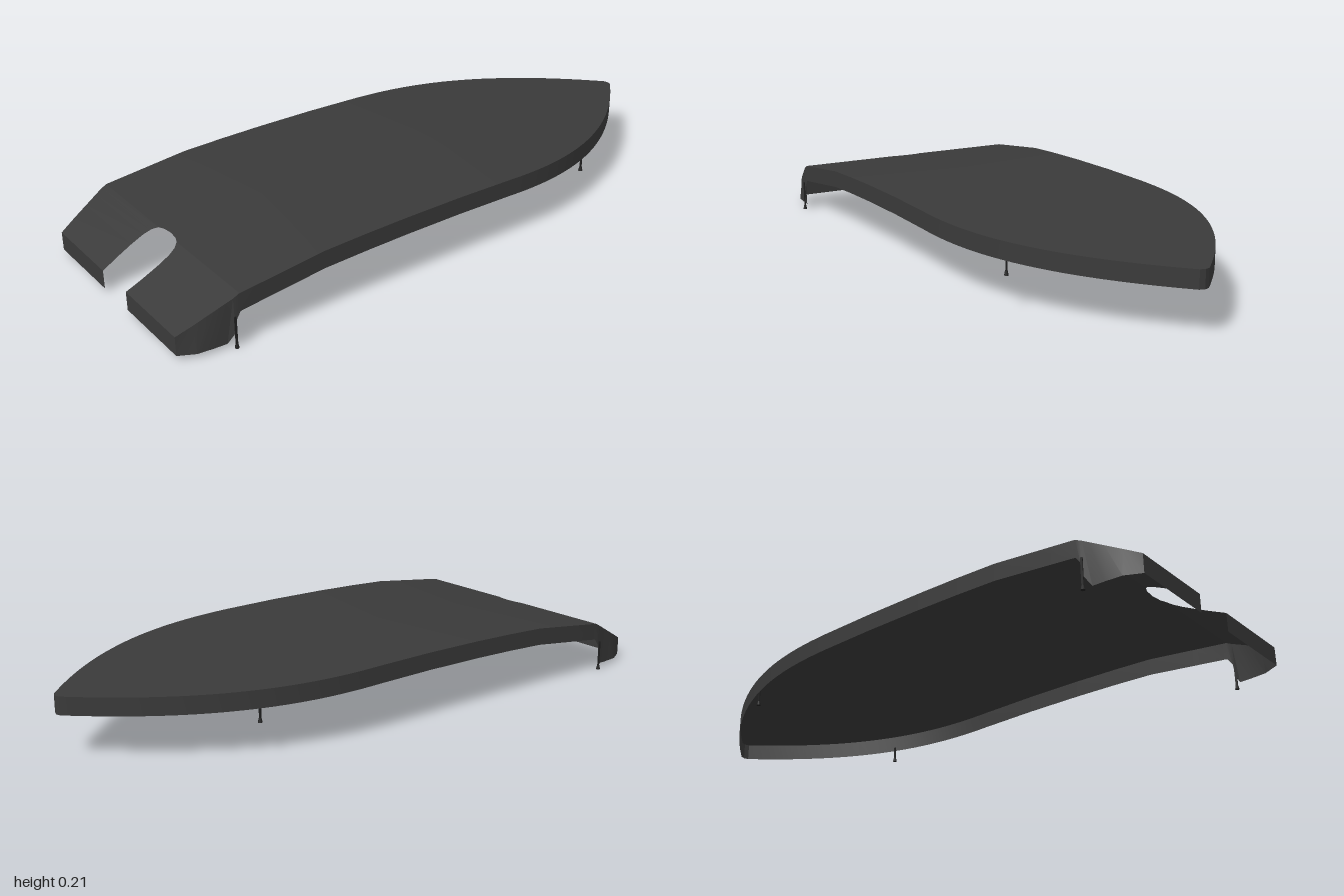
import * as THREE from 'three';
import { toCreasedNormals } from 'three/addons/utils/BufferGeometryUtils.js';

// piecewise linear lookup in [x, value] pairs
function lookup(table, x) {
  for (let i = 1; i < table.length; i++) {
    const [x0, v0] = table[i - 1], [x1, v1] = table[i];
    if (x <= x1) return v0 + (v1 - v0) * (x - x0) / (x1 - x0);
  }
  return table[table.length - 1][1];
}

// surface between two rows of points of equal length
function strip(a, b, flip) {
  const pos = [...a, ...b].flat(), idx = [], n = a.length;
  for (let i = 0; i < n - 1; i++) {
    const quad = [i, i + 1, n + i, i + 1, n + i + 1, n + i];
    idx.push(...(flip ? quad.reverse() : quad));
  }
  const g = new THREE.BufferGeometry();
  g.setAttribute('position', new THREE.Float32BufferAttribute(pos, 3));
  g.setIndex(idx);
  return toCreasedNormals(g, 0.3);
}

// side profile of the cover, and the plan of the motor notch
const deckHeight = [[-1, 0.072], [-0.82, 0.165], [-0.54, 0.199], [-0.4, 0.205], [-0.25, 0.209],
  [-0.05, 0.211], [0.15, 0.209], [0.4, 0.203], [0.7, 0.196], [1, 0.19]];
const notchWidth = [[-1, 0.073], [-0.95, 0.078], [-0.9, 0.08], [-0.86, 0.078], [-0.835, 0.07],
  [-0.82, 0.055], [-0.812, 0.035], [-0.808, 0]];
const sternWidth = [[-1, 0.36], [-0.95, 0.375], [-0.84, 0.403], [-0.808, 0.405]];

const topY = (x) => lookup(deckHeight, x);
function halfWidth(x) {
  if (x < -0.808) return lookup(sternWidth, x);
  if (x < 0.15) return 0.405;
  if (x > 0.999) return 0;
  return 0.405 * (1 - Math.pow((x - 0.15) / 0.86, 2.28));
}

export function createModel() {
  const model = new THREE.Group();
  const canvas = new THREE.MeshStandardMaterial({ color: 0x3a3a3a, side: THREE.DoubleSide });
  canvas.name = 'charcoal canvas';
  const strapMat = new THREE.MeshStandardMaterial({ color: 0x222222 });
  strapMat.name = 'black strap';

  function add(geometry, material, name, parent = model) {
    const mesh = new THREE.Mesh(geometry, material);
    mesh.name = name;
    parent.add(mesh);
    return mesh;
  }

  // stations along the length
  const stations = [-1, -0.95, -0.9, -0.86, -0.84, -0.835, -0.82, -0.812, -0.808, -0.7, -0.54, -0.4, -0.25, -0.05];
  for (let i = 0; i <= 24; i++) stations.push(0.15 + 0.83 * i / 24);
  stations.push(0.988, 0.995, 1);

  // lower edge of the skirt around the stern corner: x, y, z
  const cornerHem = [[-1, 0.012, 0.36], [-0.95, 0.012, 0.386], [-0.9, 0.012, 0.391], [-0.86, 0.012, 0.393],
    [-0.84, 0.045, 0.406], [-0.835, 0.085, 0.406], [-0.82, 0.108, 0.405]];

  for (const s of [1, -1]) {
    const side = s > 0 ? 'left' : 'right';
    const edge = stations.map((x) => [x, topY(x), s * halfWidth(x)]);
    const inner = stations.map((x) => [x, topY(x), s * lookup(notchWidth, x)]);
    const hem = stations.map((x, i) => (i < cornerHem.length
      ? [x, cornerHem[i][1], s * cornerHem[i][2]]
      : [x, topY(x) - 0.056, s * halfWidth(x)]));

    // deck half, side skirt and stern flap
    add(strip(inner, edge, s > 0), canvas, side + 'Deck');
    add(strip(edge, hem, s > 0), canvas, side + 'Skirt');
    add(strip([[-1, 0.072, s * 0.073], [-1, 0.072, s * 0.36]],
      [[-1, 0.012, s * 0.073], [-1, 0.012, s * 0.36]], s < 0), canvas, side + 'SternFlap');

    // hanging straps with small hooks
    for (const [name, x, z, y0, y1] of [['Bow', 0.535, 0.335, 0.1, 0.155], ['Stern', -0.84, 0.409, 0, 0.1]]) {
      const strap = new THREE.Group();
      strap.name = side + name + 'Strap';
      strap.position.set(x, y0, s * z);
      add(new THREE.BoxGeometry(0.007, y1 - y0, 0.003), strapMat, 'webbing', strap).position.y = (y1 - y0) / 2;
      add(new THREE.CylinderGeometry(0.004, 0.007, 0.014, 8), strapMat, 'hook', strap).position.y = 0.007;
      model.add(strap);
    }
  }
  return model;
}
